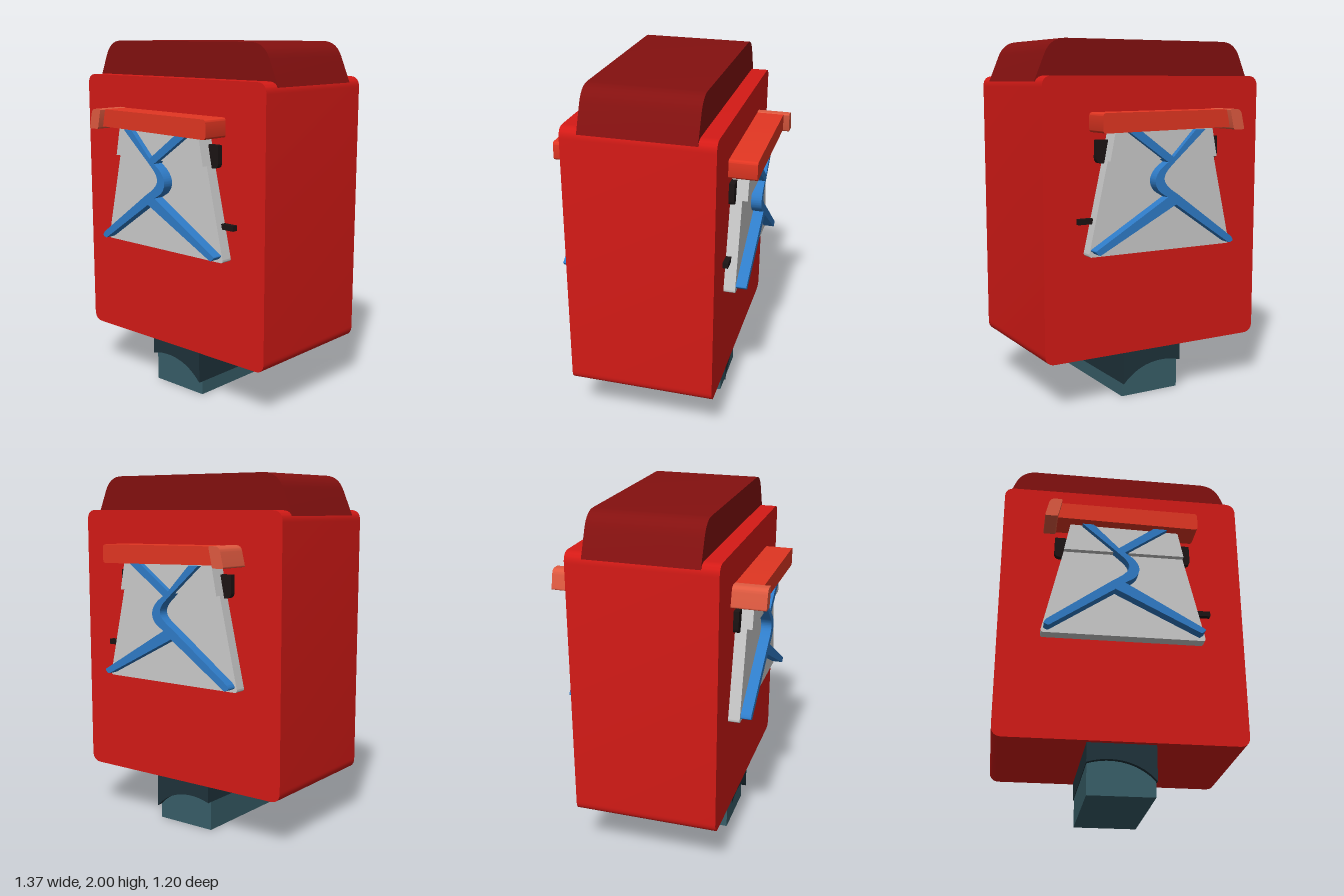
import * as THREE from 'three';
import { toCreasedNormals } from 'three/addons/utils/BufferGeometryUtils.js';

// Closed outline with each corner rounded; points are [x, y, radius]
function outline(points) {
  const shape = new THREE.Shape();
  const n = points.length;
  points.forEach(([x, y, r = 0], i) => {
    const p = new THREE.Vector2(x, y);
    const toward = ([qx, qy]) => {
      const d = new THREE.Vector2(qx, qy).sub(p);
      return d.setLength(Math.min(r, d.length() / 2)).add(p);
    };
    const a = toward(points[(i + n - 1) % n]);
    const b = toward(points[(i + 1) % n]);
    if (i === 0) shape.moveTo(a.x, a.y);
    else shape.lineTo(a.x, a.y);
    if (r > 0) shape.quadraticCurveTo(x, y, b.x, b.y);
  });
  shape.closePath();
  return shape;
}

export function createModel() {
  const model = new THREE.Group();
  model.name = 'cabinet';
  const mat = (color) => new THREE.MeshStandardMaterial({ color });
  const red = mat(0xd41a16), darkRed = mat(0x84100f), orange = mat(0xe23622);
  const coral = mat(0xe05a40), teal = mat(0x385e68), darkTeal = mat(0x1e323a);
  const grey = mat(0xcccccc), blue = mat(0x2f7cc8), black = mat(0x1c1414);

  // Every part is a front outline run through the depth, so front and back match
  function slab(name, shape, halfDepth, material) {
    const geo = new THREE.ExtrudeGeometry(shape, { depth: 2 * halfDepth, bevelEnabled: false, curveSegments: 10 });
    geo.translate(0, 0, -halfDepth);
    const mesh = new THREE.Mesh(toCreasedNormals(geo, 0.5), material);
    mesh.name = name;
    model.add(mesh);
  }
  const rect = (x0, y0, x1, y1, r = 0) => outline([[x0, y0, r], [x1, y0, r], [x1, y1, r], [x0, y1, r]]);

  // Main housing and sloping lid
  slab('body', rect(-0.685, 0.275, 0.685, 1.805, 0.06), 0.41, red);
  slab('lid', outline([[-0.685, 1.775], [0.685, 1.775], [0.59, 2, 0.09], [-0.59, 2, 0.09]]), 0.315, darkRed);

  // Foot with an arched collar above it
  slab('foot', rect(-0.183, 0, 0.183, 0.29), 0.35, teal);
  const collar = new THREE.Shape();
  collar.moveTo(-0.187, 0.29);
  collar.lineTo(-0.187, 0.168);
  collar.bezierCurveTo(-0.08, 0.205, 0.08, 0.2, 0.187, 0.08);
  collar.lineTo(0.187, 0.29);
  slab('footCollar', collar, 0.38, darkTeal);

  // Tapered panel: lower face and a prouder upper band
  slab('panelLower', outline([[-0.456, 0.852, 0.02], [0.456, 0.852, 0.02], [0.34, 1.36], [-0.34, 1.36]]), 0.475, grey);
  slab('panelUpper', outline([[-0.34, 1.36], [0.34, 1.36], [0.306, 1.53], [-0.306, 1.53]]), 0.505, grey);

  // Blue branching ribbon across the panel
  slab('ribbon', outline([
    [-0.442, 0.878, 0.01], [-0.415, 0.865, 0.01], [-0.053, 1.11], [0.42, 0.868, 0.01],
    [0.446, 0.892, 0.01], [0, 1.153], [0.065, 1.19, 0.04], [0.086, 1.249, 0.06],
    [0.055, 1.305, 0.04], [0, 1.344], [0.246, 1.515], [0.167, 1.515], [-0.034, 1.37],
    [-0.177, 1.515], [-0.24, 1.515], [-0.05, 1.35], [0.016, 1.29, 0.04],
    [0.028, 1.243, 0.05], [-0.01, 1.2, 0.04], [-0.066, 1.164], [-0.43, 0.9, 0.01],
  ]), 0.535, blue);

  // Black brackets beside the panel and the small side lever
  for (const s of [-1, 1]) {
    const pts = [[-0.39, 1.345, 0.035], [-0.28, 1.345], [-0.28, 1.47], [-0.387, 1.47]];
    const mirrored = pts.map(([x, y, r]) => [-x, y, r]).reverse();
    slab(s < 0 ? 'rightBracket' : 'leftBracket', outline(s < 0 ? pts : mirrored), 0.44, black);
  }
  slab('lever', rect(0.38, 1.025, 0.495, 1.055), 0.44, black);

  // Overhanging bar and its slanted end cap
  slab('bar', outline([[-0.385, 1.525], [-0.37, 1.525], [0.415, 1.51, 0.02], [0.415, 1.615, 0.02], [-0.365, 1.622]]), 0.565, orange);
  slab('barCap', outline([[-0.457, 1.512, 0.01], [-0.385, 1.512, 0.01], [-0.36, 1.625, 0.01], [-0.43, 1.625, 0.03]]), 0.6, coral);

  return model;
}
